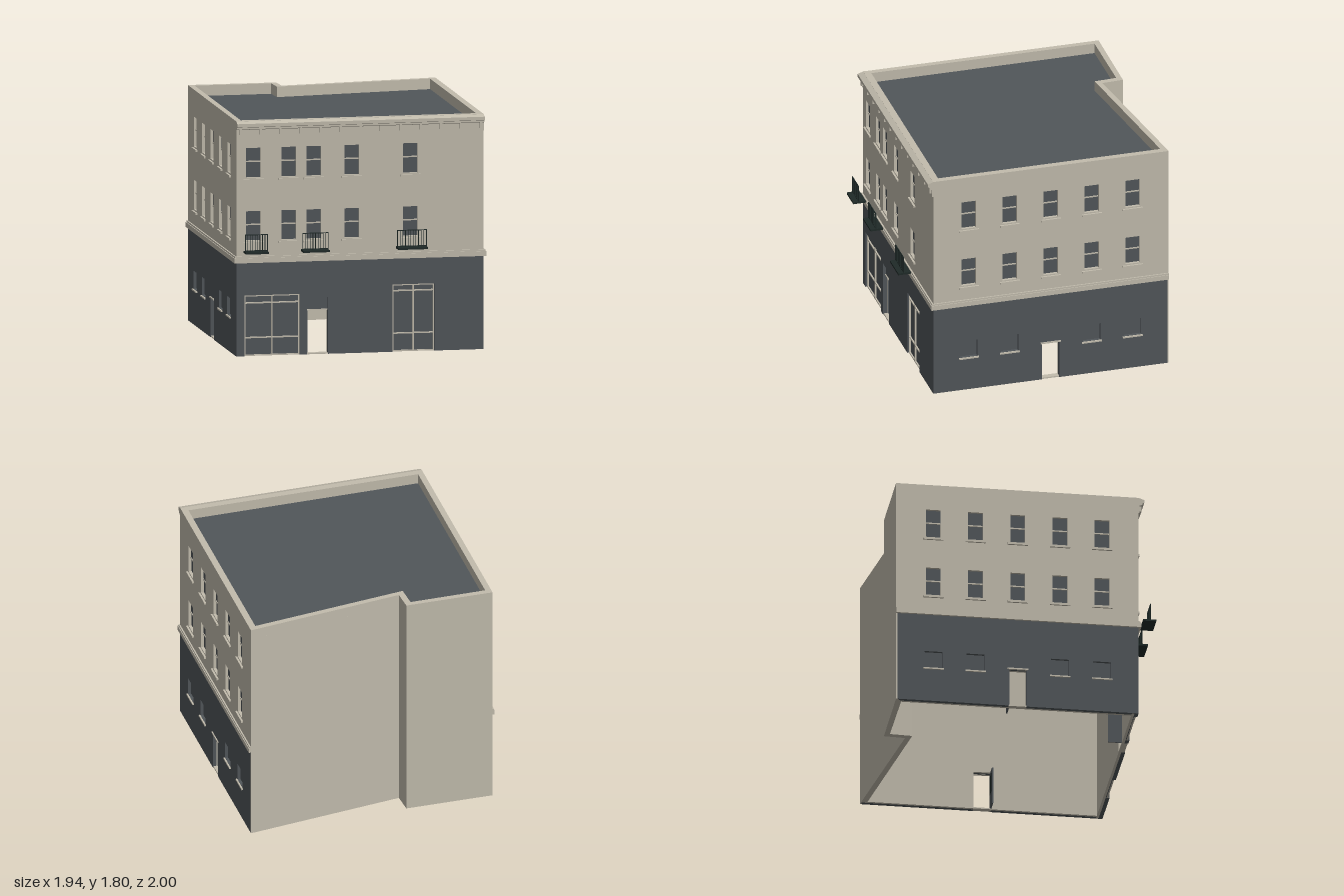
import * as THREE from 'three';

const stone = new THREE.MeshStandardMaterial({ color: 0xc2bcad });
stone.name = 'stone';
const slate = new THREE.MeshStandardMaterial({ color: 0x51565a });
slate.name = 'slate';
const iron = new THREE.MeshStandardMaterial({ color: 0x1f2a28 });
iron.name = 'iron';

const BAND = 0.715, ROOF = 1.72, TOP = 1.8;

function add(parent, name, geometry, material) {
  const mesh = new THREE.Mesh(geometry, material);
  mesh.name = name;
  parent.add(mesh);
  return mesh;
}

// Box given by its limits on each axis
function box(parent, name, material, x0, x1, y0, y1, z0, z1) {
  const mesh = add(parent, name, new THREE.BoxGeometry(x1 - x0, y1 - y0, z1 - z0), material);
  mesh.position.set((x0 + x1) / 2, (y0 + y1) / 2, (z0 + z1) / 2);
  return mesh;
}

// Upright wall panel; notches [a, b, height] open at the bottom, holes [a, b, y0, y1]
function panel(parent, name, material, [u0, u1, y0, y1], z0, z1, notches = [], holes = []) {
  const pts = [[u0, y0]];
  for (const [a, b, h] of notches) pts.push([a, y0], [a, h], [b, h], [b, y0]);
  pts.push([u1, y0], [u1, y1], [u0, y1]);
  const shape = new THREE.Shape(pts.map(p => new THREE.Vector2(...p)));
  for (const [a, b, c, d] of holes) {
    shape.holes.push(new THREE.Path([[a, c], [a, d], [b, d], [b, c]].map(p => new THREE.Vector2(...p))));
  }
  const geometry = new THREE.ExtrudeGeometry(shape, { depth: z1 - z0, bevelEnabled: false });
  add(parent, name, geometry.translate(0, 0, z0), material);
}

// Plan outline [x, z] raised from y0 to y1
function slab(parent, name, material, points, y0, y1, hole) {
  const plan = list => list.map(([x, z]) => new THREE.Vector2(x, -z));
  const shape = new THREE.Shape(plan(points));
  if (hole) shape.holes.push(new THREE.Path(plan(hole)));
  const geometry = new THREE.ExtrudeGeometry(shape, { depth: y1 - y0, bevelEnabled: false });
  add(parent, name, geometry.rotateX(-Math.PI / 2).translate(0, y0, 0), material);
}

const FLOORS = [[0.885, 1.11], [1.367, 1.594]];
const HALF = 0.056;

// Sash window recessed in its opening, with a sill
function sashWindow(parent, u, [y0, y1]) {
  const g = new THREE.Group();
  g.name = 'sashWindow';
  const mid = (y0 + y1) / 2 + 0.008;
  box(g, 'lowerPane', slate, u - HALF, u + HALF, y0, mid, -0.0295, -0.024);
  box(g, 'upperPane', slate, u - HALF, u + HALF, mid, y1, -0.0295, -0.02);
  box(g, 'meetingRail', stone, u - HALF, u + HALF, mid - 0.005, mid + 0.005, -0.0295, -0.015);
  box(g, 'sill', stone, u - 0.078, u + 0.078, y0 - 0.025, y0 - 0.01, -0.01, 0.015);
  parent.add(g);
}

// Door standing open inwards, hinged on the left as seen from outside
function openDoor(parent, a, b, h) {
  const g = new THREE.Group();
  g.name = 'openDoor';
  box(g, 'doorLeaf', slate, a, a + 0.01, 0.005, h - 0.005, -0.155, -0.035);
  box(g, 'doorPanel', iron, a + 0.01, a + 0.013, h * 0.38, h * 0.86, -0.14, -0.05);
  box(g, 'threshold', stone, a, b, 0, 0.01, -0.05, -0.005);
  parent.add(g);
}

// Glazed shopfront with a beige frame, mullion and rails
function shopWindow(parent, a, b, h, rails) {
  const g = new THREE.Group();
  g.name = 'shopWindow';
  box(g, 'glass', slate, a, b, 0, h, -0.0295, -0.024);
  for (const u of [a + 0.005, (a + b) / 2, b - 0.005]) {
    box(g, 'mullion', stone, u - 0.005, u + 0.005, 0, h, -0.0295, -0.012);
  }
  for (const y of [0.005, ...rails, h - 0.005]) {
    box(g, 'rail', stone, a, b, y - 0.005, y + 0.005, -0.0295, -0.013);
  }
  parent.add(g);
}

// Outer walls, inner lining, string course and sash windows of one side
function facade(name, u0, u1, centres, notches, doors, groundHoles) {
  const g = new THREE.Group();
  g.name = name;
  const holes = FLOORS.flatMap(([y0, y1]) => centres.map(u => [u - HALF, u + HALF, y0, y1]));
  panel(g, 'groundWall', slate, [u0, u1, 0, BAND], -0.03, 0, notches, groundHoles);
  panel(g, 'upperWall', stone, [u0, u1, BAND, ROOF], -0.03, 0, [], holes);
  panel(g, 'lining', stone, [u0 + 0.01, u1 - 0.01, 0, ROOF - 0.01], -0.05, -0.03, doors);
  for (const floor of FLOORS) for (const u of centres) sashWindow(g, u, floor);
  for (const [a, b, h] of doors) openDoor(g, a, b, h);
  return g;
}

function frontFacade() {
  const door = [-0.41, -0.247];
  const shops = [[-0.89, -0.465, 0.465, [0.14, 0.405]], [0.25, 0.575, 0.515, [0.14, 0.465]]];
  const g = facade('frontFacade', -0.955, 0.955, [-0.823, -0.55, -0.358, -0.064, 0.388],
    [shops[0].slice(0, 3), [...door, 0.435], shops[1].slice(0, 3)], [[...door, 0.338]], []);
  for (const s of shops) shopWindow(g, ...s);
  box(g, 'transomPane', slate, ...door, 0.342, 0.435, -0.0295, -0.022);
  box(g, 'transomBar', stone, ...door, 0.335, 0.343, -0.04, -0.015);
  box(g, 'stringCourse', stone, -0.972, 0.972, BAND, 0.752, -0.01, 0.018);
  box(g, 'stringCourseTop', stone, -0.966, 0.966, 0.752, 0.765, -0.01, 0.012);

  // Cornice profile swept along the front, with brackets beneath
  const profile = [[-0.01, 1.675], [0.008, 1.675], [0.008, 1.735], [0.028, 1.742], [0.028, 1.755],
    [0.043, 1.76], [0.043, 1.785], [0, 1.799], [-0.01, 1.799]];
  const shape = new THREE.Shape(profile.map(([z, y]) => new THREE.Vector2(-z, y)));
  const cornice = new THREE.ExtrudeGeometry(shape, { depth: 1.91, bevelEnabled: false });
  add(g, 'cornice', cornice.rotateY(Math.PI / 2).translate(-0.955, 0, 0), stone);
  for (let i = 0; i < 13; i++) {
    const x = -0.927 + i * 0.1548;
    box(g, 'bracket', stone, x - 0.009, x + 0.009, 1.697, 1.745, 0, 0.025);
  }
  g.position.z = 0.855;
  return g;
}

function sideFacade(name, side) {
  const centres = [-0.645, -0.323, 0, 0.323, 0.645];
  const small = centres.filter(u => u !== 0);
  const [u0, u1] = side > 0 ? [-0.895, 0.92] : [-0.92, 0.895];
  const door = [-0.068, 0.068, 0.305];
  const g = facade(name, u0, u1, centres, [door], [door],
    small.map(u => [u - 0.068, u + 0.068, 0.275, 0.412]));
  for (const u of small) {
    box(g, 'smallPane', slate, u - 0.068, u + 0.068, 0.275, 0.412, -0.0295, -0.022);
    box(g, 'smallSill', stone, u - 0.078, u + 0.078, 0.262, 0.273, -0.028, 0.012);
  }
  box(g, 'doorHead', stone, -0.08, 0.08, 0.303, 0.314, -0.01, 0.008);
  const ends = side > 0 ? [-0.915, 0.929] : [-0.929, 0.915];
  box(g, 'stringCourse', stone, ...ends, BAND, 0.752, -0.01, 0.017);
  box(g, 'stringCourseTop', stone, ...ends, 0.752, 0.765, -0.01, 0.011);
  g.rotation.y = side * Math.PI / 2;
  g.position.set(side * 0.955, 0, -0.07);
  return g;
}

// Platform with a single upright railing
function balcony(x0, x1) {
  const g = new THREE.Group();
  g.name = 'balcony';
  box(g, 'platform', iron, x0, x1, 0.8, 0.815, 0.898, 0.997);
  for (const y of [0.822, 0.943]) box(g, 'handrail', iron, x0, x1, y - 0.003, y + 0.003, 0.951, 0.957);
  const n = Math.round((x1 - x0) / 0.02);
  for (let i = 0; i <= n; i++) {
    const x = x0 + 0.003 + (x1 - x0 - 0.006) * i / n;
    const w = i === 0 || i === n ? 0.003 : 0.002;
    box(g, 'baluster', iron, x - w, x + w, 0.815, 0.943, 0.954 - w, 0.954 + w);
  }
  return g;
}

export function createModel() {
  const model = new THREE.Group();
  model.name = 'cornerBuilding';
  model.add(frontFacade(), sideFacade('leftFacade', 1), sideFacade('rightFacade', -1));

  // Stepped, slanting back wall
  const backOuter = [[-0.9545, -1], [-0.275, -0.995], [-0.265, -0.832], [0.9545, -1]];
  const backInner = [[0.905, -0.948], [-0.31, -0.783], [-0.32, -0.955], [-0.91, -0.955]];
  slab(model, 'backWall', stone, [...backOuter, [0.9545, -0.985], ...backInner, [-0.9545, -0.985]], 0, ROOF);

  // Parapet ring around a sunken flat roof
  const inner = [...backInner, [-0.91, 0.803], [0.905, 0.803]];
  const outer = [[-0.955, -1], backOuter[1], backOuter[2], [0.955, -1], [0.955, 0.855], [-0.955, 0.855]];
  slab(model, 'parapet', stone, outer, ROOF, TOP, inner);
  slab(model, 'roof', slate, inner, ROOF - 0.015, ROOF);

  for (const [a, b] of [[-0.908, -0.732], [-0.465, -0.262], [0.268, 0.495]]) model.add(balcony(a, b));
  return model;
}
